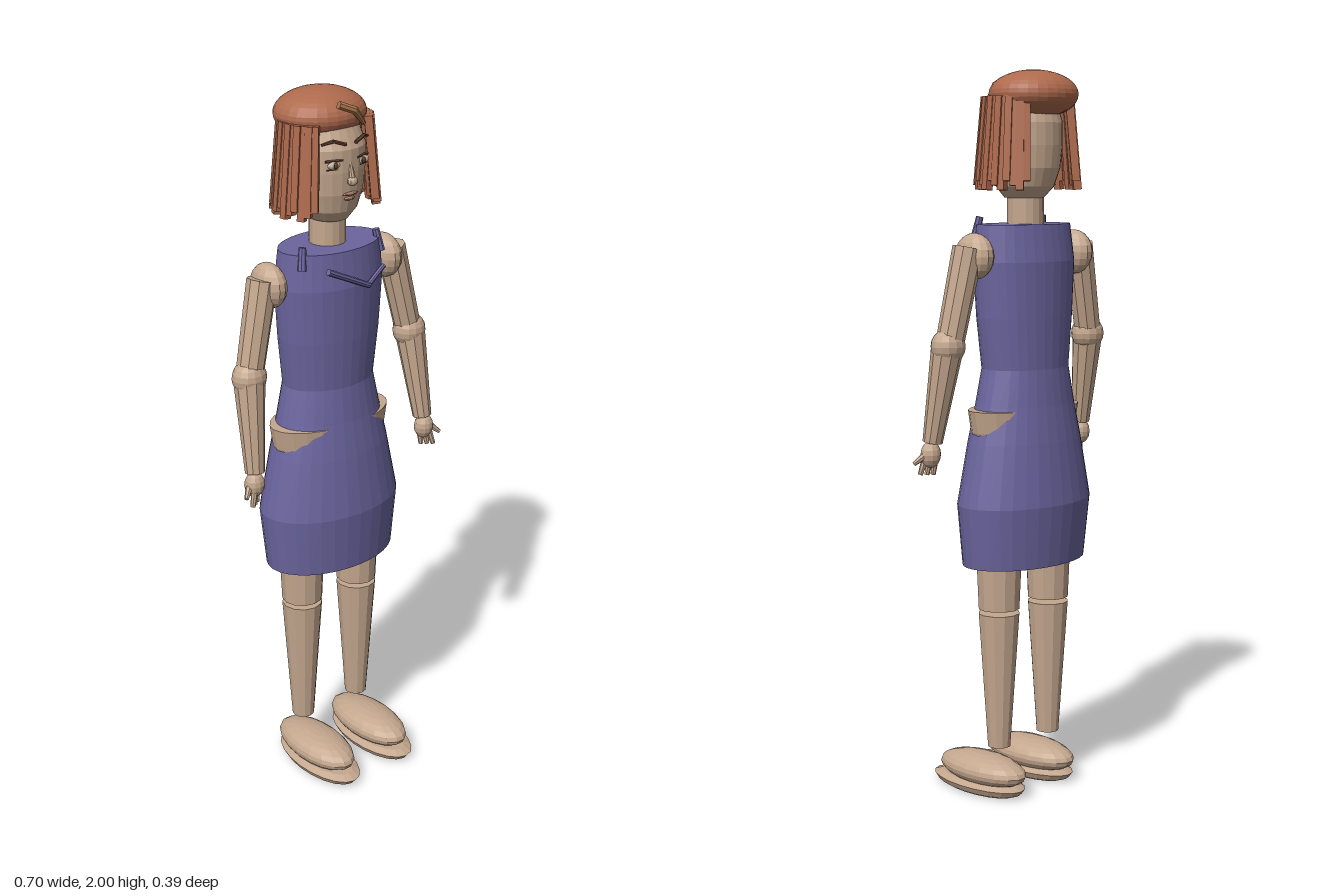
import * as THREE from 'three';

const material = (name, color) => Object.assign(new THREE.MeshStandardMaterial({ color }), { name });

export function createModel() {
  const model = new THREE.Group();
  model.name = 'woodenDoll';
  const skin = material('skin', 0xc4a78e);
  const purple = material('dressPurple', 0x6b659e);
  const hair = material('hairRed', 0xae6a4d);
  const lockBrown = material('lockBrown', 0xab7750);
  const dark = material('darkBrown', 0x63402f);
  const pale = material('eyePale', 0xcfc0b0);
  const lip = material('lip', 0xa87a68);

  // Faceted mesh
  const add = (name, geometry, mat, parent = model) => {
    const g = geometry.index ? geometry.toNonIndexed() : geometry;
    g.computeVertexNormals();
    const mesh = new THREE.Mesh(g, mat);
    mesh.name = name;
    parent.add(mesh);
    return mesh;
  };
  const ellipsoid = (name, p, r, mat, w = 14, h = 10) => {
    const mesh = add(name, new THREE.SphereGeometry(1, w, h).scale(...r), mat);
    mesh.position.set(...p);
    return mesh;
  };
  // Tapered round bar from a (radius ra) to b (radius rb)
  const bar = (name, a, b, ra, rb, mat, sides = 10) => {
    const from = new THREE.Vector3(...a), to = new THREE.Vector3(...b);
    const mesh = add(name, new THREE.CylinderGeometry(rb, ra, from.distanceTo(to), sides), mat);
    mesh.position.copy(from).add(to).multiplyScalar(0.5);
    mesh.quaternion.setFromUnitVectors(new THREE.Vector3(0, 1, 0), to.sub(from).normalize());
    return mesh;
  };
  // Elliptical body through levels [y, half width, half depth, centre z], bottom to top
  const loft = (name, levels, mat, sides = 28) => {
    const last = levels.length - 1;
    const g = new THREE.CylinderGeometry(1, 1, 1, sides, last);
    const p = g.attributes.position;
    for (let i = 0; i < p.count; i++) {
      const [y, rx, rz, cz] = levels[Math.round((p.getY(i) + 0.5) * last)];
      p.setXYZ(i, p.getX(i) * rx, y, p.getZ(i) * rz + cz);
    }
    return add(name, g, mat);
  };

  // Dress and the hip block that shows through it
  loft('dress', [
    [0.66, 0.203, 0.132, -0.045], [0.83, 0.22, 0.146, -0.047], [1.0, 0.185, 0.126, -0.048],
    [1.1, 0.161, 0.111, -0.049], [1.2, 0.139, 0.1, -0.05], [1.34, 0.155, 0.106, -0.047],
    [1.49, 0.165, 0.11, -0.045], [1.59, 0.156, 0.097, -0.043],
  ], purple, 32);
  loft('hips', [[0.95, 0.15, 0.08, -0.045], [1.03, 0.182, 0.1, -0.045], [1.09, 0.192, 0.105, -0.045]], skin, 24);

  // Neckline trim
  bar('necklineRight', [-0.095, 1.555, 0.074], [0.045, 1.487, 0.072], 0.009, 0.008, purple, 8);
  bar('necklineLeft', [0.04, 1.485, 0.07], [0.1, 1.53, 0.066], 0.007, 0.007, purple, 8);

  // Neck and head
  bar('neck', [0, 1.58, -0.05], [0, 1.7, -0.05], 0.05, 0.05, skin, 16);
  loft('head', [
    [1.66, 0.052, 0.055, -0.045], [1.69, 0.078, 0.08, -0.048], [1.74, 0.094, 0.095, -0.05],
    [1.8, 0.101, 0.1, -0.05], [1.86, 0.102, 0.1, -0.05], [1.92, 0.085, 0.078, -0.055], [1.95, 0.04, 0.04, -0.06],
  ], skin, 24);

  // Hair cap
  ellipsoid('hairCap', [0, 1.935, -0.08], [0.128, 0.065, 0.115], hair, 28, 18);

  // Curl above the forehead
  bar('curlUpper', [-0.035, 1.98, 0.042], [0.008, 1.962, 0.055], 0.011, 0.011, lockBrown, 8);
  bar('curlLower', [0.005, 1.965, 0.055], [0.042, 1.922, 0.05], 0.011, 0.006, lockBrown, 8);

  // Nose and mouth
  bar('noseBridge', [0, 1.825, 0.046], [0, 1.785, 0.055], 0.005, 0.009, skin, 8);
  ellipsoid('noseTip', [0, 1.778, 0.056], [0.015, 0.013, 0.013], skin, 10, 8);
  ellipsoid('upperLip', [0, 1.742, 0.046], [0.026, 0.005, 0.006], lip, 10, 6);
  ellipsoid('lowerLip', [0, 1.729, 0.043], [0.018, 0.005, 0.006], lip, 10, 6);

  for (const s of [1, -1]) {
    // Side hair strands, leaving face and nape open
    const count = 13;
    for (let i = 0; i < count; i++) {
      const a = s * THREE.MathUtils.lerp(0.82, 2.36, i / (count - 1));
      const length = 0.235 + 0.012 * ((i * 7) % 3 - 1);
      const r = 1 + 0.025 * (i % 2);
      const strand = add('hairStrand', new THREE.BoxGeometry(0.02, length, 0.022), hair);
      strand.rotation.order = 'YXZ';
      strand.rotation.set(-0.09, a, 0);
      strand.position.set(Math.sin(a) * 0.13 * r, 1.928 - length / 2, -0.058 + Math.cos(a) * 0.114 * r);
    }

    // Eye, lid and brow
    ellipsoid('eye', [s * 0.046, 1.824, 0.038], [0.023, 0.011, 0.008], pale, 12, 8);
    ellipsoid('iris', [s * 0.046, 1.824, 0.044], [0.008, 0.009, 0.005], dark, 10, 6);
    bar('eyelid', [s * 0.023, 1.835, 0.045], [s * 0.07, 1.835, 0.031], 0.004, 0.004, dark, 6);
    bar('lowerLid', [s * 0.026, 1.812, 0.044], [s * 0.066, 1.812, 0.032], 0.002, 0.002, dark, 6);
    bar('browInner', [s * 0.016, 1.876, 0.048], [s * 0.05, 1.888, 0.04], 0.005, 0.005, dark, 6);
    bar('browOuter', [s * 0.05, 1.888, 0.04], [s * 0.077, 1.878, 0.022], 0.005, 0.003, dark, 6);

    // Strap end at the neckline
    bar('strapEnd', [s * 0.134, 1.55, 0.012], [s * 0.124, 1.61, 0.002], 0.012, 0.01, purple, 8);

    // Arm
    ellipsoid('shoulder', [s * 0.197, 1.508, -0.05], [0.041, 0.062, 0.063], skin);
    bar('upperArm', [s * 0.219, 1.53, -0.048], [s * 0.276, 1.28, -0.035], 0.042, 0.038, skin);
    ellipsoid('elbow', [s * 0.279, 1.273, -0.032], [0.049, 0.048, 0.045], skin);
    bar('forearm', [s * 0.281, 1.265, -0.03], [s * 0.298, 1.015, 0.01], 0.043, 0.027, skin);
    ellipsoid('hand', [s * 0.302, 0.982, 0.013], [0.029, 0.036, 0.027], skin, 12, 8);
    bar('thumb', [s * 0.312, 0.99, 0.008], [s * 0.345, 0.958, 0.034], 0.012, 0.006, skin, 7);
    for (let f = 0; f < 3; f++) {
      bar('finger', [s * (0.292 + f * 0.009), 0.975, 0.006 + f * 0.009],
        [s * (0.295 + f * 0.014), 0.927, 0.012 + f * 0.01], 0.01, 0.007, skin, 7);
    }

    // Leg
    bar('thigh', [s * 0.1, 0.535, -0.045], [s * 0.1, 0.72, -0.045], 0.058, 0.066, skin, 12);
    bar('shin', [s * 0.1, 0.14, -0.045], [s * 0.1, 0.522, -0.045], 0.032, 0.058, skin, 12);

    // Shoe and sole
    ellipsoid('shoe', [s * 0.1, 0.062, 0.018], [0.074, 0.045, 0.153], skin, 18, 12);
    loft('sole', [[0, 0.058, 0.13, 0.033], [0.008, 0.07, 0.15, 0.033], [0.024, 0.078, 0.163, 0.033],
      [0.034, 0.06, 0.135, 0.033]], skin, 20).position.x = s * 0.1;
  }

  return model;
}
